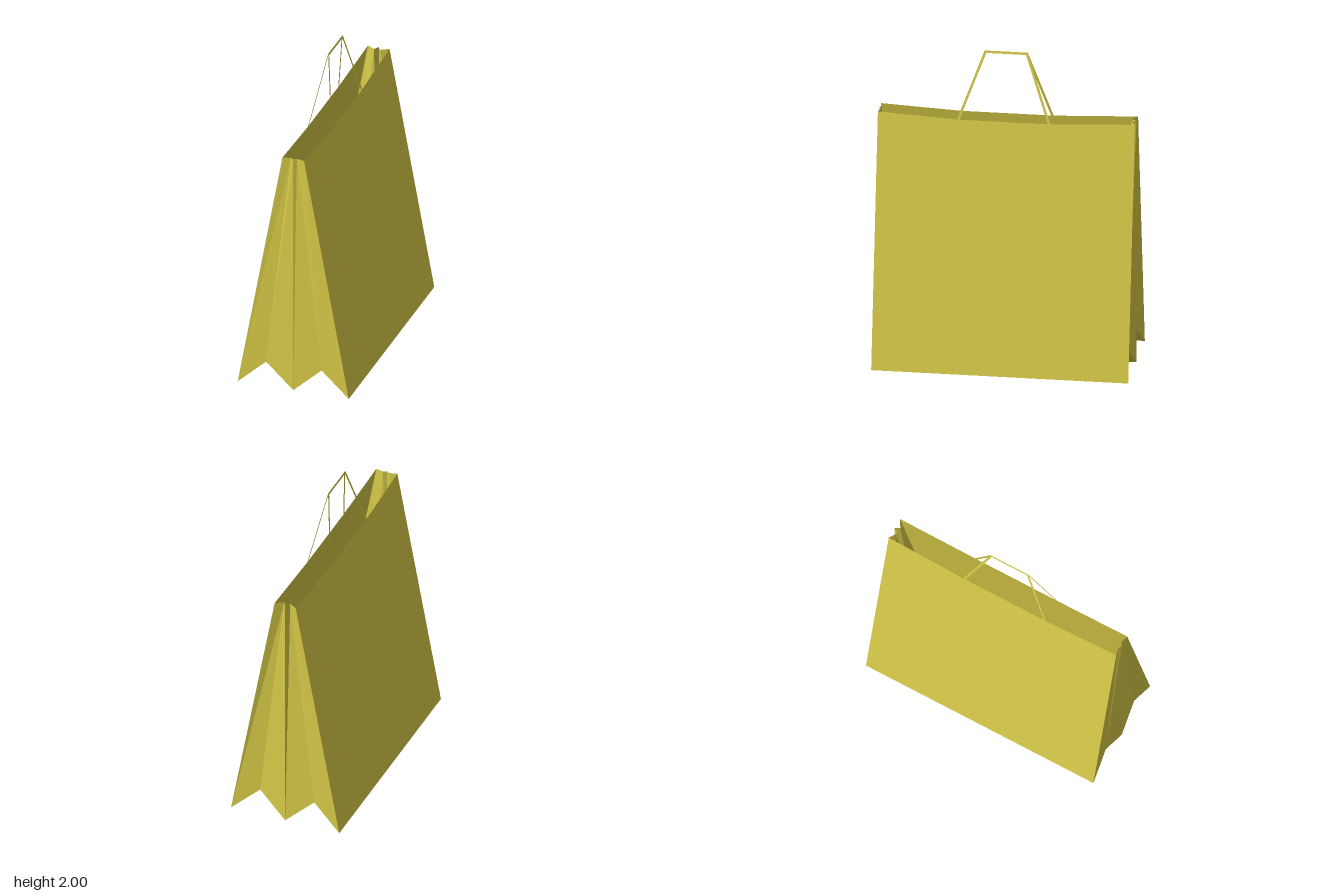
import * as THREE from 'three';

const paper = new THREE.MeshStandardMaterial({ color: 0xd8cb48, side: THREE.DoubleSide, flatShading: true });

// Folded sheet spanning two matching rows of points
function sheet(name, rowA, rowB) {
  const pos = [];
  for (let i = 0; i < rowA.length - 1; i++) {
    const a = rowA[i], b = rowA[i + 1], c = rowB[i + 1], d = rowB[i];
    pos.push(...a, ...b, ...c, ...a, ...c, ...d);
  }
  const geo = new THREE.BufferGeometry();
  geo.setAttribute('position', new THREE.Float32BufferAttribute(pos, 3));
  geo.computeVertexNormals();
  const mesh = new THREE.Mesh(geo, paper);
  mesh.name = name;
  return mesh;
}

const HALF_BOTTOM = 0.36, HALF_TOP = 0.07, HEIGHT = 1.59, DEPTH = 0.795;
const FOLD_BOTTOM = 0.18, FOLD_TOP = 0.02, FOLD_Y = 0.16;
const DIP = 1.565; // mouth height between the handle ends
const slopeX = y => HALF_BOTTOM + (HALF_TOP - HALF_BOTTOM) * y / HEIGHT;

// Zigzag rows of one gusset; inset is how far its folds tuck inwards
const gussetBottom = (z, fold) => [
  [-HALF_BOTTOM, 0, z], [-FOLD_BOTTOM, FOLD_Y, fold], [0, 0, z],
  [FOLD_BOTTOM, FOLD_Y, fold], [HALF_BOTTOM, 0, z]];
const gussetTop = (z, fold) => [
  [-HALF_TOP, HEIGHT, z], [-FOLD_TOP, HEIGHT, fold], [0, HEIGHT, z],
  [FOLD_TOP, HEIGHT, fold], [HALF_TOP, HEIGHT, z]];

// Flat ribbon handle leaning from the panel to the centre line
function handle(name, side) {
  const outline = [
    [0.305, DIP], [0.145, 2], [-0.123, 2], [-0.272, DIP],
    [-0.256, DIP], [-0.112, 1.985], [0.134, 1.985], [0.289, DIP]];
  const geo = new THREE.ShapeGeometry(new THREE.Shape(outline.map(p => new THREE.Vector2(...p))));
  const pos = geo.attributes.position;
  for (let i = 0; i < pos.count; i++) {
    const z = pos.getX(i), y = pos.getY(i);
    pos.setXYZ(i, side * slopeX(DIP) * (2 - y) / (2 - DIP), y, z);
  }
  geo.computeVertexNormals();
  const mesh = new THREE.Mesh(geo, paper);
  mesh.name = name;
  return mesh;
}

export function createModel() {
  const bag = new THREE.Group();
  bag.name = 'paperBag';

  // Large panels with a slightly dipped mouth, and their handles
  const rim = [[DEPTH, HEIGHT], [0.3, DIP], [-0.27, DIP], [-DEPTH, HEIGHT]];
  for (const [label, side] of [['left', 1], ['right', -1]]) {
    const low = rim.map(([z]) => [side * HALF_BOTTOM, 0, z]);
    const high = rim.map(([z, y]) => [side * slopeX(y), y, z]);
    // rows swap with the side so the panel faces outwards
    bag.add(sheet(label + 'Panel', ...(side > 0 ? [low, high] : [high, low])));
    bag.add(handle(label + 'Handle', side));
  }

  // Pleated end gussets
  const front = [DEPTH, DEPTH - 0.012], back = [-DEPTH, -DEPTH + 0.032];
  bag.add(sheet('frontGusset', gussetBottom(...front), gussetTop(...front)));
  bag.add(sheet('backGusset', gussetTop(...back), gussetBottom(...back)));

  // Folded base
  bag.add(sheet('base', gussetBottom(...back), gussetBottom(...front)));
  return bag;
}
